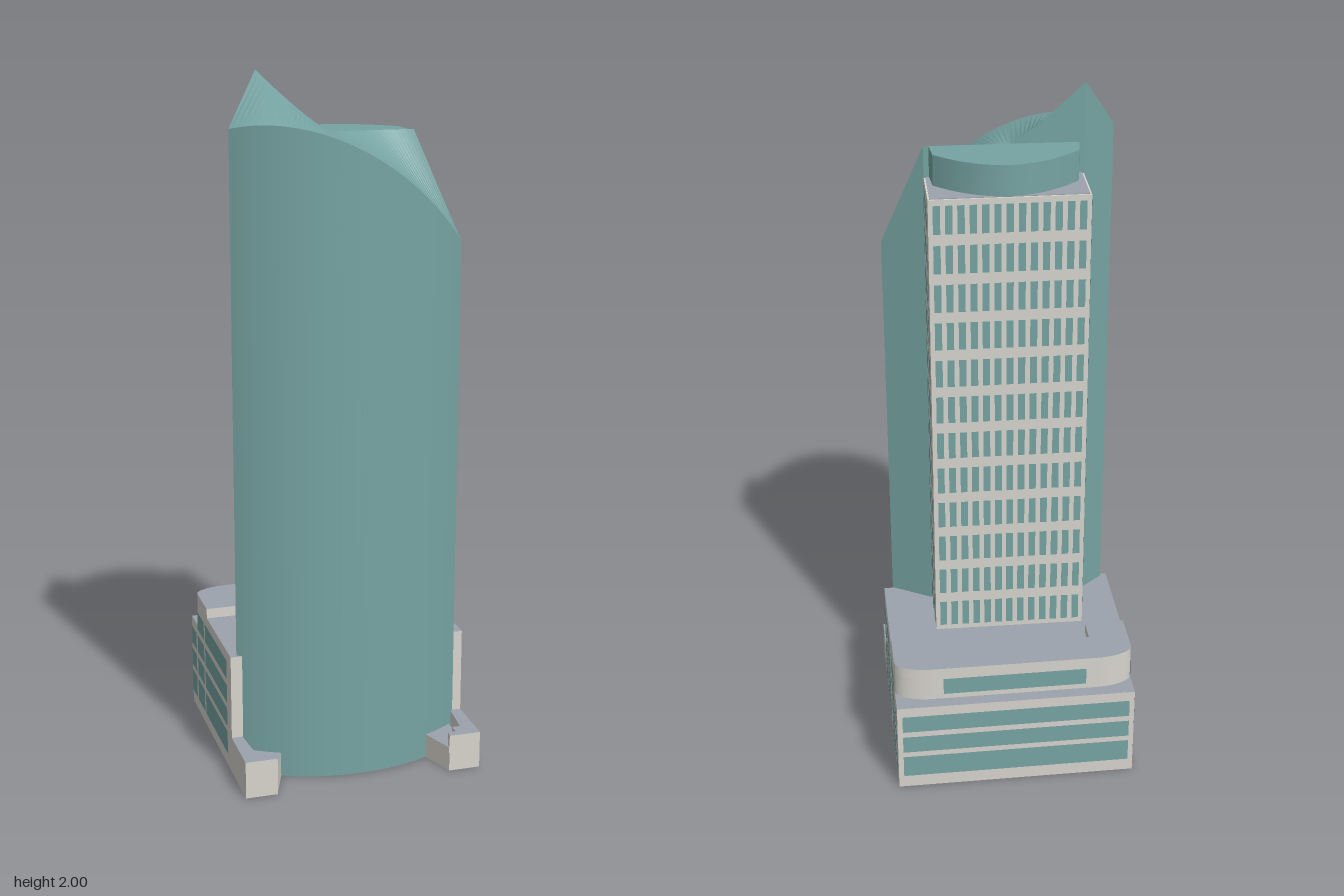
import * as THREE from 'three';
import { mergeGeometries, toCreasedNormals } from 'three/addons/utils/BufferGeometryUtils.js';

const material = (name, color) => {
  const m = new THREE.MeshStandardMaterial({ color, side: THREE.DoubleSide });
  m.name = name;
  return m;
};

export function createModel() {
  const glass = material('teal glass', 0x76a4a3);
  const concrete = material('pale concrete', 0xd8d5ce);
  const slate = material('slate roof', 0x9ba3ac);

  const model = new THREE.Group();
  model.name = 'officeTower';
  const podium = new THREE.Group();
  podium.name = 'podium';
  podium.rotation.y = THREE.MathUtils.degToRad(26.8);
  const tower = new THREE.Group();
  tower.name = 'tower';
  tower.rotation.y = THREE.MathUtils.degToRad(25.6);
  model.add(podium, tower);

  const add = (parent, name, geometry, mat) => {
    const mesh = new THREE.Mesh(geometry, mat);
    mesh.name = name;
    parent.add(mesh);
  };

  // Ruled surface between two rails of [x, y, z] points
  const ruled = (lower, upper, crease = 0.3) => {
    const pos = [];
    for (let i = 0; i < lower.length - 1; i++) {
      pos.push(...lower[i], ...lower[i + 1], ...upper[i + 1]);
      pos.push(...lower[i], ...upper[i + 1], ...upper[i]);
    }
    const g = new THREE.BufferGeometry();
    g.setAttribute('position', new THREE.Float32BufferAttribute(pos, 3));
    g.computeVertexNormals();
    return crease ? toCreasedNormals(g, crease) : g;
  };

  // Walls and a flat roof over a plan outline of [x, z] points, open below
  const block = (parent, name, plan, y0, y1, wallMat, roofMat) => {
    let pts = plan.map(([x, z]) => new THREE.Vector2(x, -z));
    if (THREE.ShapeUtils.isClockWise(pts)) pts = pts.reverse();
    const loop = [...pts, pts[0]];
    const rail = (y) => loop.map((p) => [p.x, y, -p.y]);
    add(parent, name + 'Walls', ruled(rail(y0), rail(y1)), wallMat);
    const roof = new THREE.ShapeGeometry(new THREE.Shape(pts)).rotateX(-Math.PI / 2).translate(0, y1, 0);
    add(parent, name + 'Roof', roof, roofMat);
  };

  // Window panes [u0, u1, y0, y1] on a wall turned by rot, at distance d
  const panes = (parent, name, list, rot, d) => {
    const geos = list.map(([u0, u1, y0, y1]) =>
      new THREE.PlaneGeometry(u1 - u0, y1 - y0).translate((u0 + u1) / 2, (y0 + y1) / 2, d + 0.002).rotateY(rot));
    add(parent, name, mergeGeometries(geos), glass);
  };

  // Podium: lower storeys, set-back upper storey with curved corners, raised roof band
  const W = 0.35;
  const mirrored = (half) => [...half, ...half.slice().reverse().map(([x, z]) => [-x, z])];
  const curve = [];
  for (let i = 0; i <= 8; i++) {
    const t = (i / 8) * Math.PI / 2;
    curve.push([0.24 + 0.11 * Math.cos(t), -0.257 - 0.049 * Math.sin(t)]);
  }
  block(podium, 'lowerPodium', mirrored([[W, 0.18], [W, -0.343]]), 0, 0.285, concrete, slate);
  block(podium, 'upperPodium', mirrored([[W, 0.18], ...curve]), 0.285, 0.36, concrete, slate);
  block(podium, 'raisedRoofBand',
    mirrored([[0.234, -0.2], [0.234, -0.127], [W, -0.127], ...curve]), 0.36, 0.39, concrete, slate);

  // Podium windows
  const rows = [[0.04, 0.11], [0.127, 0.182], [0.2, 0.255], [0.275, 0.332]];
  const bays = (spans, floors) => spans.flatMap(([a, b]) => floors.map((f) => [a, b, ...f]));
  const low = rows.slice(0, 3);
  panes(podium, 'leftPodiumWindows', [
    ...bays([[-0.172, -0.082], [-0.065, 0.067], [0.125, 0.255]], rows),
    ...bays([[0.277, 0.333]], low)], Math.PI / 2, W);
  panes(podium, 'rightPodiumWindows', [
    ...bays([[-0.255, -0.165], [-0.15, 0.135]], rows),
    ...bays([[-0.335, -0.272]], low)], -Math.PI / 2, W);
  panes(podium, 'backPodiumWindows', bays([[-0.335, 0.335]], low), Math.PI, 0.343);
  panes(podium, 'backUpperWindows', [[-0.21, 0.21, 0.302, 0.355]], Math.PI, 0.306);

  // Low entrance wings either side of the curved front
  for (const s of [1, -1]) {
    const flip = (pts) => pts.map(([x, z]) => [s * x, z]);
    const side = s > 0 ? 'left' : 'right';
    block(podium, side + 'WingPorch',
      flip([[0.31, 0.17], [0.31, 0.33], [0.257, 0.342], [0.218, 0.235], [0.27, 0.17]]), 0, 0.072, concrete, slate);
    block(podium, side + 'Wing',
      flip([[W, 0.18], [W, 0.345], [0.257, 0.345], [0.261, 0.32], [0.284, 0.32],
        [0.284, 0.291], [0.308, 0.291], [0.318, 0.18]]), 0, 0.11, concrete, slate);
  }

  // Rear office shaft with its window grid
  const X0 = -0.235, X1 = 0.207, ZB = -0.066, ZF = 0.102, TOP = 1.74;
  const rect = (e) => [[X0 + e, ZF], [X1 - e, ZF], [X1 - e, ZB + e], [X0 + e, ZB + e]];
  block(tower, 'shaft', rect(0), 0.3, TOP, concrete, concrete);
  block(tower, 'shaftRoof', rect(0.005), TOP, TOP + 0.002, slate, slate);
  const grid = (u0, u1, cols) => {
    const list = [], w = (u1 - u0) / cols, h = (TOP - 0.36) / 12;
    for (let c = 0; c < cols; c++)
      for (let r = 0; r < 12; r++)
        list.push([u0 + (c + 0.2) * w, u0 + (c + 0.8) * w, 0.36 + (r + 0.14) * h, 0.36 + (r + 0.86) * h]);
    return list;
  };
  panes(tower, 'backShaftWindows', grid(-X1 + 0.006, -X0 - 0.006, 13), Math.PI, -ZB);
  panes(tower, 'leftShaftWindows', grid(-ZF, -ZB - 0.004, 5), Math.PI / 2, X1);
  panes(tower, 'rightShaftWindows', grid(ZB + 0.004, ZF, 5), -Math.PI / 2, -X0);

  // Rounded plant room on the roof
  const plant = [[0.192, 0.104], [-0.222, 0.1]];
  for (let i = 0; i <= 20; i++) {
    const x = -0.212 + (i / 20) * 0.398;
    const k = (x + 0.013) / 0.199;
    plant.push([x, -0.062 + 0.098 * k * k]);
  }
  block(tower, 'plantRoom', plant, TOP, 1.83, glass, glass);

  // Curved glass front: arc in plan, cut by a sloping plane
  const N = 44, HALF = 0.327, R = 0.54;
  const rot = tower.rotation.y;
  const foot = [], rim = [], ridge = [], ridgeFoot = [];
  const sweep = Math.asin(HALF / R);
  for (let i = 0; i <= N; i++) {
    const t = i / N;
    const ang = (t * 2 - 1) * sweep;
    const x = R * Math.sin(ang);
    const z = 0.176 + R * (Math.cos(ang) - Math.cos(sweep));
    const worldZ = -x * Math.sin(rot) + z * Math.cos(rot);
    foot.push([x, 0, z]);
    rim.push([x, 1.86 - 1.16 * (0.305 - worldZ), z]);
    // Straight inner ridge, sweeping up to a peak at one end
    const rx = THREE.MathUtils.lerp(X0, X1, t), rz = THREE.MathUtils.lerp(0.097, 0.107, t);
    ridge.push([rx, 1.83 + 0.17 * Math.pow(Math.max(0, 1 - t / 0.47), 1.2), rz]);
    ridgeFoot.push([rx, 1.7, rz]);
  }
  add(tower, 'curvedGlassFront', ruled(foot, rim), glass);
  add(tower, 'slopingCrown', ruled(rim, ridge, 0), glass);
  add(tower, 'crownBack', ruled(ridgeFoot.slice().reverse(), ridge.slice().reverse()), glass);
  const ground = ([x, , z]) => [x, 0, z];
  add(tower, 'rightGlassReturn', ruled([ground(ridge[0]), foot[0]], [ridge[0], rim[0]]), glass);
  add(tower, 'leftGlassReturn', ruled([foot[N], ground(ridge[N])], [rim[N], ridge[N]]), glass);

  return model;
}
